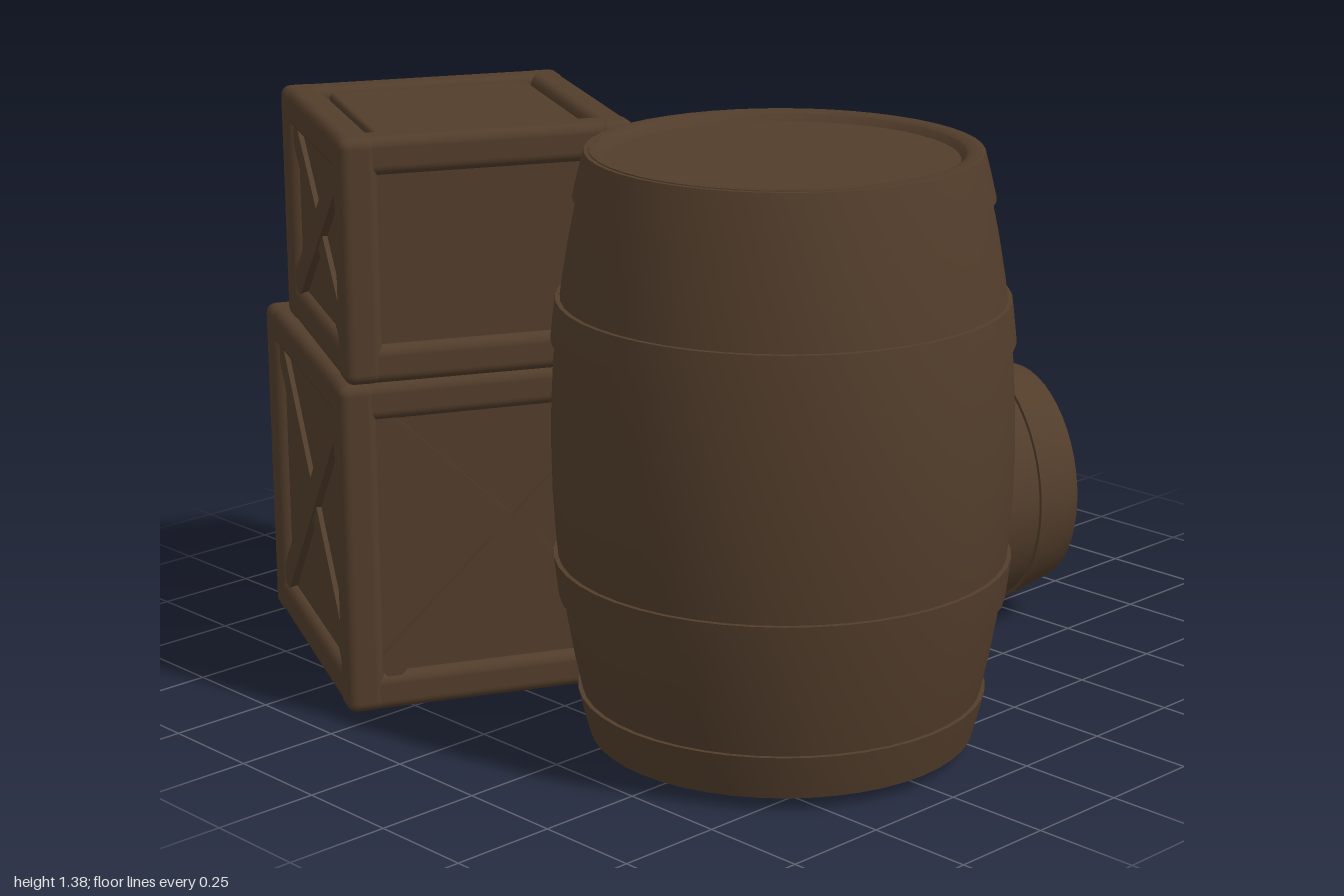
import * as THREE from 'three';
import { toCreasedNormals } from 'three/addons/utils/BufferGeometryUtils.js';
import { RoundedBoxGeometry } from 'three/addons/geometries/RoundedBoxGeometry.js';

const brown = new THREE.MeshStandardMaterial({ color: 0x523d2b });
brown.name = 'dark brown';

function add(parent, name, geometry, x = 0, y = 0, z = 0) {
  const mesh = new THREE.Mesh(geometry, brown);
  mesh.name = name;
  mesh.position.set(x, y, z);
  parent.add(mesh);
  return mesh;
}

const lathe = (pts, n = 48) =>
  toCreasedNormals(new THREE.LatheGeometry(pts.map(p => new THREE.Vector2(p[0], p[1])), n), 0.5);

// Bulging barrel centred on its own origin, axis along y
function makeBarrel(name, { length, rEnd, rMid, rHead, recess, hoops, lift }) {
  const g = new THREE.Group();
  g.name = name;
  const h = length / 2;
  const radius = y => rEnd + (rMid - rEnd) * (1 - (y / h) ** 2);
  const profile = [[0, -h + recess], [rHead, -h + recess], [rHead + 0.012, -h + 0.006], [rHead + 0.025, -h]];
  for (let i = 0; i <= 14; i++) {
    const y = -h + (length * i) / 14;
    profile.push([radius(y), y]);
  }
  profile.push([rHead + 0.025, h], [rHead + 0.012, h - 0.006], [rHead, h - recess], [0, h - recess]);
  add(g, 'staves', lathe(profile));

  // Hoops follow the bulge, mirrored to both ends
  for (const [a, b] of hoops) {
    for (const s of [-1, 1]) {
      const lo = s > 0 ? a : -b, hi = s > 0 ? b : -a, pts = [[radius(lo) - 0.01, lo]];
      for (let i = 0; i <= 4; i++) {
        const y = lo + ((hi - lo) * i) / 4;
        pts.push([radius(y) + lift, y]);
      }
      pts.push([radius(hi) - 0.01, hi]);
      add(g, 'hoop', lathe(pts));
    }
  }
  return g;
}

// Rope handle hanging in a U, sticking out along +z
function ropeHandle(halfWidth, drop) {
  const g = new THREE.Group();
  g.name = 'ropeHandle';
  const curve = new THREE.CatmullRomCurve3([
    [-1, 0, -0.03], [-0.95, -0.05, 0.03], [-0.62, -0.72, 0.05], [0, -1, 0.055],
    [0.62, -0.72, 0.05], [0.95, -0.05, 0.03], [1, 0, -0.03],
  ].map(([x, y, z]) => new THREE.Vector3(x * halfWidth, y * drop, z)));
  add(g, 'rope', new THREE.TubeGeometry(curve, 32, 0.02, 8));
  for (const s of [-1, 1]) add(g, 'ropeKnot', new THREE.SphereGeometry(0.028, 12, 8), s * halfWidth, 0, 0);
  return g;
}

// Framed crate standing on its own y = 0; crossed lists the side numbers that carry an X
function makeCrate(name, { w, h, beam, inset, crossed, handle }) {
  const g = new THREE.Group();
  g.name = name;
  add(g, 'panels', new THREE.BoxGeometry(w - 2 * inset, h - 2 * inset, w - 2 * inset), 0, h / 2, 0);
  const e = w / 2 - beam / 2;
  const round = (x, y, z) => new RoundedBoxGeometry(x, y, z, 3, 0.025);
  for (const a of [-1, 1]) {
    for (const b of [-1, 1]) {
      add(g, 'cornerPost', round(beam, h, beam), a * e, h / 2, b * e);
      const y = h / 2 + b * (h / 2 - beam / 2);
      add(g, 'rail', round(w - 0.012, beam, beam - 0.006), 0, y, a * e);
      add(g, 'rail', round(beam - 0.006, beam, w - 0.012), a * e, y, 0);
    }
  }
  // Lid board
  const lid = w - 2 * beam - 0.02;
  add(g, 'lidBoard', new RoundedBoxGeometry(lid, 0.05, lid, 2, 0.012), 0, h - 0.034, 0);
  // Diagonal braces and handle
  for (let k = 0; k < 4; k++) {
    const side = new THREE.Group();
    side.name = 'side';
    side.rotation.y = (k * Math.PI) / 2;
    side.position.y = h / 2;
    g.add(side);
    if (crossed.includes(k)) {
      const pw = w - 2 * beam, ph = h - 2 * beam;
      for (const s of [-1, 1]) {
        const brace = add(side, 'brace', new THREE.BoxGeometry(Math.hypot(pw, ph), beam * 0.75, 0.03),
          0, 0, w / 2 - inset + 0.003 * s);
        brace.rotation.z = s * Math.atan2(ph, pw);
      }
    }
    if (k === 2) {
      const rope = ropeHandle(handle.half, handle.drop);
      rope.position.set(0, handle.y - h / 2, w / 2 - inset + 0.012);
      side.add(rope);
    }
  }
  return g;
}

// Tied sack lofted from rings: [y, x, z, halfWide, halfThick, sharpness, ripple]
function makeSack() {
  const g = new THREE.Group();
  g.name = 'sack';
  const rings = [
    [0.06, 0.48, -0.45, 0.0, 0.0, 1, 0],
    [0.05, 0.48, -0.45, 0.25, 0.08, 1.2, 0],
    [0.07, 0.49, -0.47, 0.42, 0.13, 1.7, 0],
    [0.12, 0.495, -0.475, 0.435, 0.17, 1.6, 0],
    [0.22, 0.475, -0.445, 0.385, 0.21, 1.2, 0.01],
    [0.35, 0.465, -0.42, 0.35, 0.225, 1, 0.015],
    [0.48, 0.455, -0.41, 0.32, 0.22, 1, 0.02],
    [0.58, 0.445, -0.40, 0.28, 0.205, 1, 0.025],
    [0.65, 0.435, -0.38, 0.21, 0.17, 1, 0.04],
    [0.70, 0.42, -0.365, 0.13, 0.12, 1, 0.06],
    [0.74, 0.41, -0.35, 0.085, 0.085, 1, 0.08],
    [0.78, 0.405, -0.33, 0.095, 0.095, 1, 0.12],
    [0.85, 0.405, -0.30, 0.14, 0.15, 1, 0.17],
    [0.91, 0.405, -0.275, 0.16, 0.165, 1, 0.2],
    [0.935, 0.405, -0.275, 0.14, 0.145, 1, 0.2],
    [0.88, 0.405, -0.285, 0.10, 0.10, 1, 0.18],
    [0.82, 0.405, -0.31, 0.0, 0.0, 1, 0],
  ];
  const n = 72, pos = [], idx = [];
  const u = [0.75, 0.66], v = [0.66, -0.75];
  rings.forEach(([y, cx, cz, hu, hv, sharp, ripple], j) => {
    for (let i = 0; i < n; i++) {
      const a = (i / n) * Math.PI * 2, c = Math.cos(a), s = Math.sin(a);
      const fold = 1 + ripple * Math.cos(7 * a + 0.8 * Math.sin(2 * a));
      const p = c * hu * fold, q = Math.sign(s) * Math.abs(s) ** sharp * hv * fold;
      const wave = y > 0.84 && hu > 0 ? 0.03 * Math.sin(3 * a + 1) : 0;
      pos.push(cx + u[0] * p + v[0] * q, y + wave, cz + u[1] * p + v[1] * q);
      if (j < rings.length - 1) {
        const k = (i + 1) % n, A = j * n + i, B = j * n + k;
        idx.push(A, B, B + n, A, B + n, A + n);
      }
    }
  });
  const body = new THREE.BufferGeometry();
  body.setAttribute('position', new THREE.Float32BufferAttribute(pos, 3));
  body.setIndex(idx);
  body.computeVertexNormals();
  add(g, 'sackCloth', body);

  // Cord round the neck with two hanging ends
  for (const dy of [0, 0.03]) {
    const cord = add(g, 'neckCord', new THREE.TorusGeometry(0.092, 0.018, 8, 28), 0.408, 0.73 + dy, 0.4 * dy - 0.352);
    cord.rotation.x = Math.PI / 2 + 0.3;
  }
  add(g, 'cordKnot', new THREE.SphereGeometry(0.035, 12, 8), 0.49, 0.745, -0.42);
  for (const [x, z] of [[0.56, -0.45], [0.50, -0.52]]) {
    const end = new THREE.CatmullRomCurve3([
      new THREE.Vector3(0.49, 0.745, -0.42),
      new THREE.Vector3((x + 0.49) / 2 + 0.02, 0.72, (z - 0.42) / 2 - 0.02),
      new THREE.Vector3(x + 0.02, 0.63, z - 0.03),
      new THREE.Vector3(x + 0.04, 0.57, z - 0.05),
    ]);
    add(g, 'cordEnd', new THREE.TubeGeometry(end, 12, 0.015, 6));
  }
  return g;
}

export function createModel() {
  const model = new THREE.Group();
  model.name = 'cargoPile';

  const large = makeBarrel('largeBarrel', {
    length: 1.355, rEnd: 0.43, rMid: 0.521, rHead: 0.388, recess: 0.022, lift: 0.01,
    hoops: [[0.57, 0.675], [0.25, 0.345]],
  });
  large.position.set(-0.26, 0.723, 0.479);

  const small = makeBarrel('smallBarrel', {
    length: 0.91, rEnd: 0.266, rMid: 0.34, rHead: 0.23, recess: 0.022, lift: 0.01,
    hoops: [[0.33, 0.453]],
  });
  small.rotation.set(0, -0.335, -Math.PI / 2);
  small.position.set(0.415, 0.358, 0.105);

  const lower = makeCrate('lowerCrate', {
    w: 0.815, h: 0.795, beam: 0.09, inset: 0.028, crossed: [0, 1, 2, 3],
    handle: { half: 0.17, drop: 0.19, y: 0.61 },
  });
  lower.rotation.y = -0.44;
  lower.position.set(-0.388, 0.036, -0.465);

  const upper = makeCrate('upperCrate', {
    w: 0.69, h: 0.572, beam: 0.09, inset: 0.026, crossed: [1, 3],
    handle: { half: 0.16, drop: 0.18, y: 0.4 },
  });
  upper.rotation.y = -0.46;
  upper.position.set(-0.45, 0.828, -0.42);

  model.add(large, small, lower, upper, makeSack());
  return model;
}
